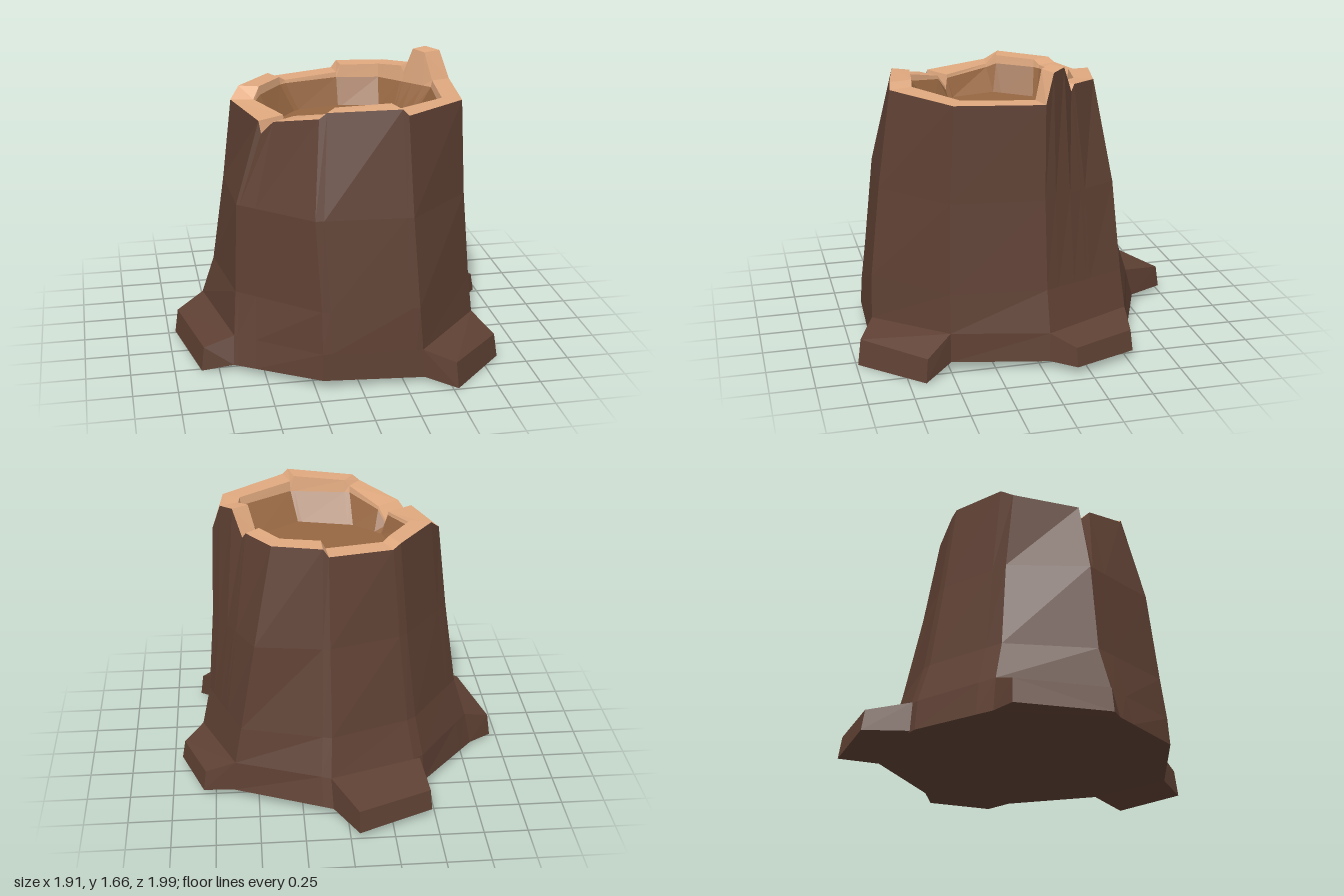
import * as THREE from 'three';
import { ConvexGeometry } from 'three/addons/geometries/ConvexGeometry.js';

// Nine-sided outlines [x, z], counter-clockwise seen from above, starting front right
const OUTLINES = {
  foot: [[-0.21, 0.87], [0.36, 0.89], [0.74, 0.50], [0.84, -0.04], [0.64, -0.55], [0.08, -0.78], [-0.45, -0.56], [-0.82, -0.10], [-0.67, 0.56]],
  collar: [[-0.21, 0.86], [0.35, 0.88], [0.735, 0.50], [0.82, -0.045], [0.63, -0.54], [0.09, -0.73], [-0.44, -0.55], [-0.78, -0.09], [-0.66, 0.52]],
  lower: [[-0.21, 0.83], [0.33, 0.87], [0.71, 0.495], [0.77, -0.04], [0.59, -0.52], [0.08, -0.66], [-0.40, -0.49], [-0.71, -0.06], [-0.64, 0.46]],
  upper: [[-0.235, 0.77], [0.30, 0.81], [0.67, 0.48], [0.73, -0.035], [0.50, -0.49], [0.08, -0.55], [-0.35, -0.42], [-0.64, -0.04], [-0.62, 0.43]],
  rimOuter: [[-0.19, 0.64], [0.28, 0.73], [0.65, 0.45], [0.71, -0.04], [0.39, -0.40], [0.08, -0.46], [-0.31, -0.36], [-0.59, 0.0], [-0.48, 0.38]],
  rimInner: [[-0.12, 0.55], [0.24, 0.60], [0.55, 0.39], [0.60, -0.01], [0.34, -0.30], [0.09, -0.34], [-0.26, -0.25], [-0.46, 0.02], [-0.33, 0.29]],
  floor: [[-0.13, 0.41], [0.20, 0.49], [0.44, 0.32], [0.49, 0.01], [0.33, -0.23], [0.09, -0.28], [-0.18, -0.22], [-0.35, 0.0], [-0.29, 0.26]],
};
const FOOT_Y = [0.055, 0.035, 0.06, 0.05, 0.055, 0.05, 0.05, 0.02, 0.04];
const COLLAR_Y = [0.21, 0.20, 0.23, 0.21, 0.235, 0.225, 0.22, 0.22, 0.205];

// Broken rim: [position around the outline, height], with splinter, steps and notch
const RIM = [
  [0, 1.49], [0.09, 1.525], [0.93, 1.545], [1, 1.51], [2, 1.50], [3, 1.49],
  [3.15, 1.65], [3.36, 1.66], [3.52, 1.51], [3.58, 1.545], [4, 1.53], [4.9, 1.525], [5, 1.48],
  [5.93, 1.47], [6.06, 1.495], [6.8, 1.50], [7, 1.44], [8, 1.42], [8.04, 1.35], [8.25, 1.43],
];

const mix = THREE.MathUtils.lerp;
const around = (list, u, pick = (v) => v) => {
  const i = Math.floor(u) % 9;
  return mix(pick(list[i]), pick(list[(i + 1) % 9]), u - Math.floor(u));
};

// One loop of points, following the rim positions
const loop = (outline, height) => RIM.map(([u, top]) => new THREE.Vector3(
  around(outline, u, (p) => p[0]), height(u, top), around(outline, u, (p) => p[1])));

const material = (color) => new THREE.MeshStandardMaterial({ color, flatShading: true });

function surface(name, triangles, mat) {
  const geometry = new THREE.BufferGeometry().setFromPoints(triangles);
  geometry.computeVertexNormals();
  const mesh = new THREE.Mesh(geometry, mat);
  mesh.name = name;
  return mesh;
}

// Skin a stack of loops
function skin(loops) {
  const out = [];
  for (let k = 0; k + 1 < loops.length; k++) {
    const a = loops[k], b = loops[k + 1], n = a.length;
    for (let i = 0; i < n; i++) {
      const j = (i + 1) % n;
      out.push(a[i], a[j], b[j], a[i], b[j], b[i]);
    }
  }
  return out;
}

// Close a loop with a fan around its middle
function cap(points, up) {
  const mid = new THREE.Vector3();
  points.forEach((p) => mid.addScaledVector(p, 1 / points.length));
  return points.flatMap((p, i) => {
    const q = points[(i + 1) % points.length];
    return up ? [mid, p, q] : [mid, q, p];
  });
}

export function createModel() {
  const group = new THREE.Group();
  group.name = 'treeStump';
  const bark = material(0x5e4033);
  const wood = material(0xe0a97f);
  const hollowWood = material(0x966742);

  const foot = loop(OUTLINES.foot, (u) => around(FOOT_Y, u));
  const collar = loop(OUTLINES.collar, (u) => around(COLLAR_Y, u));
  const lower = loop(OUTLINES.lower, () => 0.45);
  const upper = loop(OUTLINES.upper, () => 0.96);
  const rimOuter = loop(OUTLINES.rimOuter, (u, top) => top);
  const rimInner = loop(OUTLINES.rimInner, (u, top) => top);
  const floor = loop(OUTLINES.floor, () => 1.29);
  // Lower edge of the pale wood inside the rim
  const lip = rimInner.map((p, i) => {
    const q = p.clone().lerp(floor[i], 0.06);
    q.y = Math.min(1.45, p.y - 0.02);
    return q;
  });

  group.add(
    surface('bark', skin([foot, collar, lower, upper, rimOuter]), bark),
    surface('underside', cap(foot, false), bark),
    surface('rim', skin([rimOuter, rimInner, lip]), wood),
    surface('hollow', [...skin([lip, floor]), ...cap(floor, true)], hollowWood),
  );

  // Roots: side of the trunk, then two tips as [x, z, bottom, top]
  const roots = [
    ['frontLeftRoot', 1, [0.53, 0.99, 0.0, 0.15], [0.85, 0.66, 0.005, 0.14]],
    ['backLeftRoot', 3, [0.95, -0.17, 0.05, 0.16], [0.82, -0.53, 0.05, 0.17]],
    ['backRoot', 5, [-0.05, -1.0, 0.035, 0.165], [-0.48, -0.82, 0.045, 0.165]],
    ['rightRoot', 7, [-0.96, 0.0, 0.01, 0.15], [-0.85, 0.52, 0.0, 0.14]],
  ];
  for (const [name, side, ...tips] of roots) {
    const points = [];
    for (const i of [side, side + 1]) {
      const [fx, fz] = OUTLINES.foot[i], [cx, cz] = OUTLINES.collar[i];
      points.push(new THREE.Vector3(fx, FOOT_Y[i], fz), new THREE.Vector3(cx, COLLAR_Y[i], cz));
    }
    for (const [x, z, bottom, top] of tips) {
      points.push(new THREE.Vector3(x, bottom, z), new THREE.Vector3(x * 0.98, top, z * 0.98));
    }
    const root = new THREE.Mesh(new ConvexGeometry(points), bark);
    root.name = name;
    group.add(root);
  }
  return group;
}
